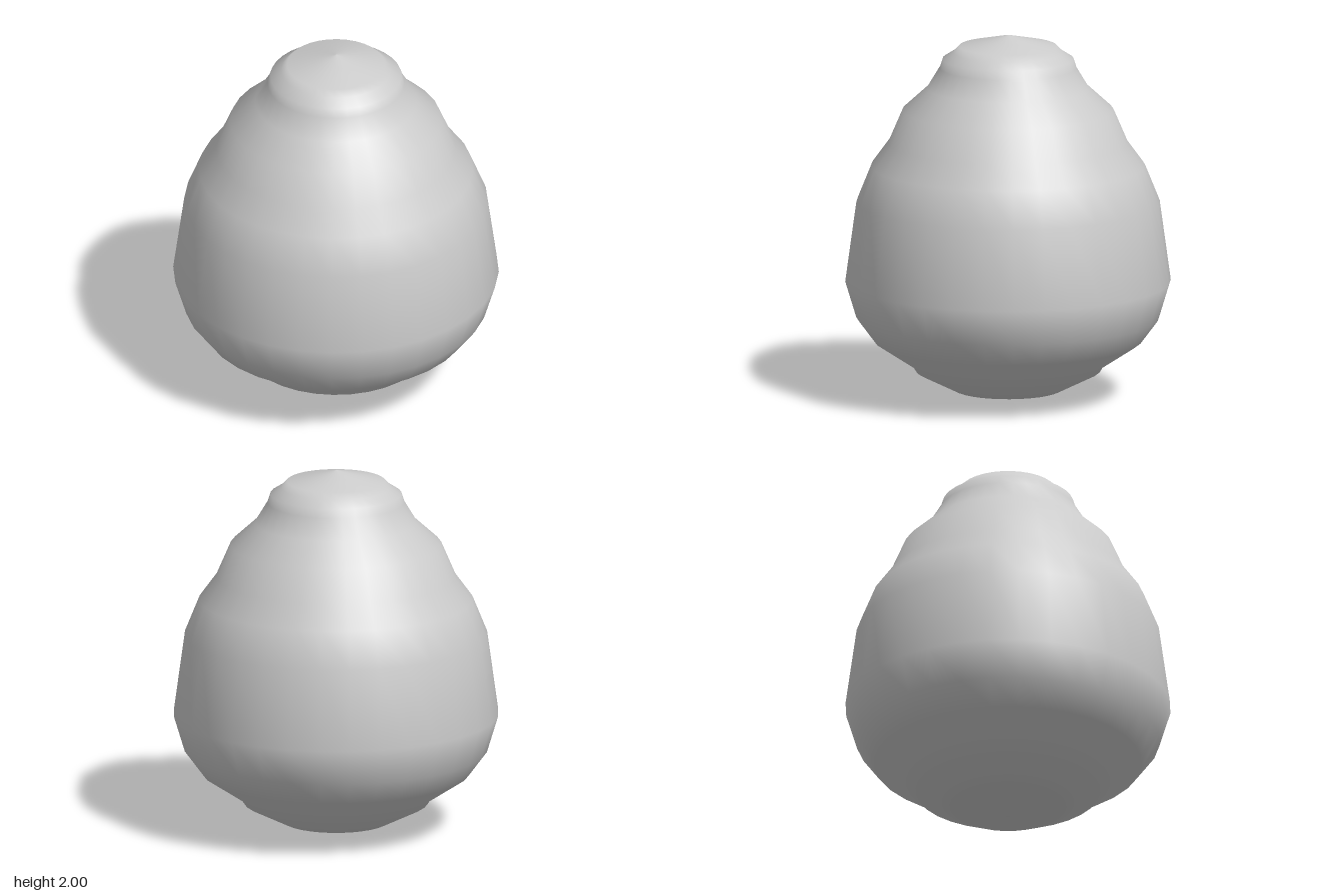
import * as THREE from 'three';

// Half outline of the body, [radius, height] from the base to the crown
const PROFILE = [
  [0, 0], [0.29, 0.05], [0.35, 0.08], [0.5, 0.155], [0.52, 0.187],
  [0.725, 0.322], [0.82, 0.45], [0.88, 0.648], [0.82, 1.085], [0.74, 1.283],
  [0.647, 1.41], [0.571, 1.587], [0.437, 1.709], [0.37, 1.82], [0.355, 1.868],
  [0.297, 1.905], [0.265, 1.938], [0, 2],
];

export function createModel() {
  const group = new THREE.Group();
  group.name = 'bulbousVessel';

  // One smooth turned body, closed at both poles
  const points = PROFILE.map(([r, y]) => new THREE.Vector2(r, y));
  const body = new THREE.Mesh(
    new THREE.LatheGeometry(points, 32),
    new THREE.MeshStandardMaterial({ color: 0xcccccc })
  );
  body.name = 'body';
  group.add(body);

  return group;
}
